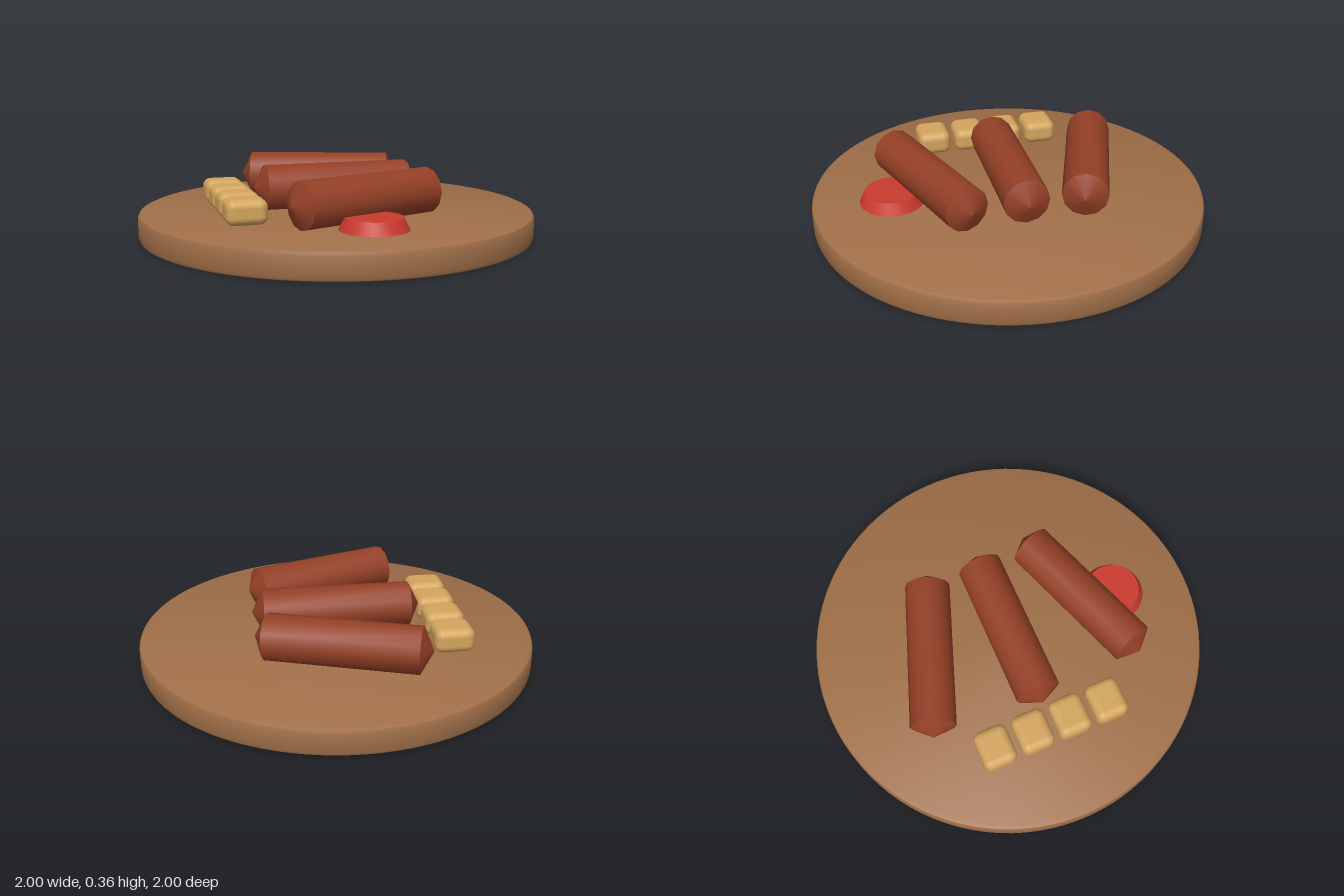
import * as THREE from 'three';
import { toCreasedNormals } from 'three/addons/utils/BufferGeometryUtils.js';
import { RoundedBoxGeometry } from 'three/addons/geometries/RoundedBoxGeometry.js';

const material = (name, color) => {
  const m = new THREE.MeshStandardMaterial({ color });
  m.name = name;
  return m;
};

// Closed solid of revolution from [radius, height] pairs, listed bottom to top
function turned(profile, segments, crease) {
  const points = profile.map(([r, y]) => new THREE.Vector2(r, y));
  return toCreasedNormals(new THREE.LatheGeometry(points, segments), crease);
}

export function createModel() {
  const group = new THREE.Group();
  const wood = material('wood', 0xa06f48);
  const meat = material('sausage brown', 0x944026);
  const sauce = material('sauce red', 0xc93a2e);
  const bread = material('bread tan', 0xd3a55e);

  const add = (name, geometry, mat, x, y, z) => {
    const mesh = new THREE.Mesh(geometry, mat);
    mesh.name = name;
    mesh.position.set(x, y, z);
    group.add(mesh);
    return mesh;
  };

  // Round serving board with softened rims
  add('board', turned([
    [0, 0], [0.98, 0], [0.994, 0.007], [1, 0.022],
    [1, 0.112], [0.994, 0.127], [0.98, 0.134], [0, 0.134],
  ], 96, 0.7), wood, 0, 0, 0);

  // Three sausages with pointed ends, fanned out across the board
  const sausage = turned([
    [0, -0.43], [0.115, -0.373], [0.115, 0.373], [0, 0.43],
  ], 12, 0.6).rotateZ(-Math.PI / 2);
  for (const side of [-1, 0, 1]) {
    const mesh = add('sausage', sausage, meat, side ? 0.025 : 0, 0.248, side * 0.416);
    mesh.rotation.y = side * 0.34;
  }

  // Row of bread cubes
  const cube = new RoundedBoxGeometry(0.198, 0.122, 0.172, 4, 0.04);
  for (let i = 0; i < 4; i++) add('breadCube', cube, bread, -0.534, 0.195, -0.3 + i * 0.2);

  // Flat-topped dollop of sauce
  add('sauce', turned([
    [0, 0.13], [0.165, 0.13], [0.135, 0.192], [0, 0.192],
  ], 32, 0.5), sauce, 0, 0, 0.6);

  return group;
}
